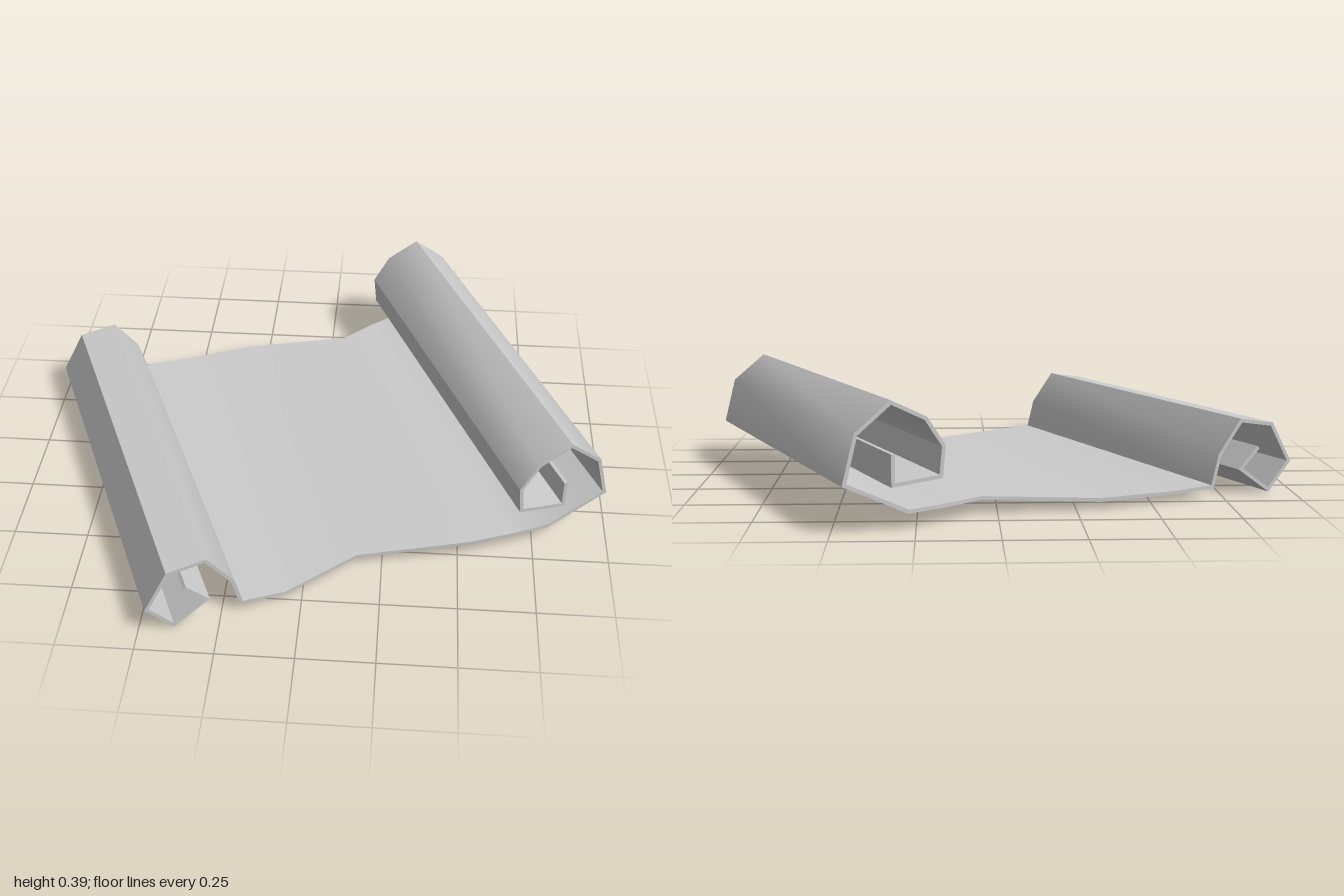
import * as THREE from 'three';
import { toCreasedNormals } from 'three/addons/utils/BufferGeometryUtils.js';

const THICKNESS = 0.012;
const FRONT = 0.674, BACK = -0.685;

// Centre line of the parchment: [across, height, front edge, back edge]
const leftRoll = [
  [-0.665, 0.155], [-0.597, 0.086], [-0.709, 0.008], [-0.789, 0.1],
  [-0.716, 0.229], [-0.594, 0.249], [-0.513, 0.14], [-0.486, 0.036],
];
const sheet = [
  [-0.339, 0.029, 0.671, BACK], [-0.066, 0.03, 0.585, BACK],
  [0.304, 0.052, 0.668, -0.592], [0.447, 0.053, FRONT, -0.647],
];
const rightRoll = [
  [0.583, 0.054], [0.784, 0.15], [0.746, 0.297], [0.637, 0.384],
  [0.527, 0.33], [0.47, 0.244], [0.479, 0.152], [0.632, 0.137], [0.632, 0.23],
];

// Offsets the centre line to both faces with mitred corners
function crossSections(path) {
  const pts = path.map(([u, y]) => new THREE.Vector2(u, y));
  const normal = (a, b) => {
    const d = b.clone().sub(a).normalize();
    return new THREE.Vector2(-d.y, d.x);
  };
  return pts.map((p, i) => {
    const n1 = normal(pts[Math.max(i - 1, 0)], pts[Math.max(i, 1)]);
    const last = pts.length - 1;
    const n2 = normal(pts[Math.min(i, last - 1)], pts[Math.min(i + 1, last)]);
    const m = n1.clone().add(n2).normalize();
    m.multiplyScalar(THICKNESS / 2 / m.dot(n1));
    const [, , front = FRONT, back = BACK] = path[i];
    const at = (s, z) => [p.x + s * m.x, p.y + s * m.y, z];
    return { tf: at(1, front), tb: at(1, back), bf: at(-1, front), bb: at(-1, back) };
  });
}

// Joins the sections into one closed strip
function parchmentGeometry(path) {
  const s = crossSections(path);
  const positions = [];
  const quad = (a, b, c, d) => positions.push(...a, ...b, ...c, ...a, ...c, ...d);
  for (let i = 0; i < s.length - 1; i++) {
    const p = s[i], q = s[i + 1];
    quad(p.tf, q.tf, q.tb, p.tb);
    quad(p.bb, q.bb, q.bf, p.bf);
    quad(p.bf, q.bf, q.tf, p.tf);
    quad(p.tb, q.tb, q.bb, p.bb);
  }
  const a = s[0], z = s[s.length - 1];
  quad(a.bb, a.bf, a.tf, a.tb);
  quad(z.bf, z.bb, z.tb, z.tf);
  const geometry = new THREE.BufferGeometry();
  geometry.setAttribute('position', new THREE.Float32BufferAttribute(positions, 3));
  return toCreasedNormals(geometry, THREE.MathUtils.degToRad(39));
}

export function createModel() {
  const group = new THREE.Group();
  group.name = 'scroll';
  const material = new THREE.MeshStandardMaterial({ color: 0xcccccc });
  // One sheet with a roll at each side, lying at a slant
  const parchment = new THREE.Mesh(parchmentGeometry([...leftRoll, ...sheet, ...rightRoll]), material);
  parchment.name = 'parchment';
  parchment.rotation.y = 0.4;
  group.add(parchment);
  return group;
}
